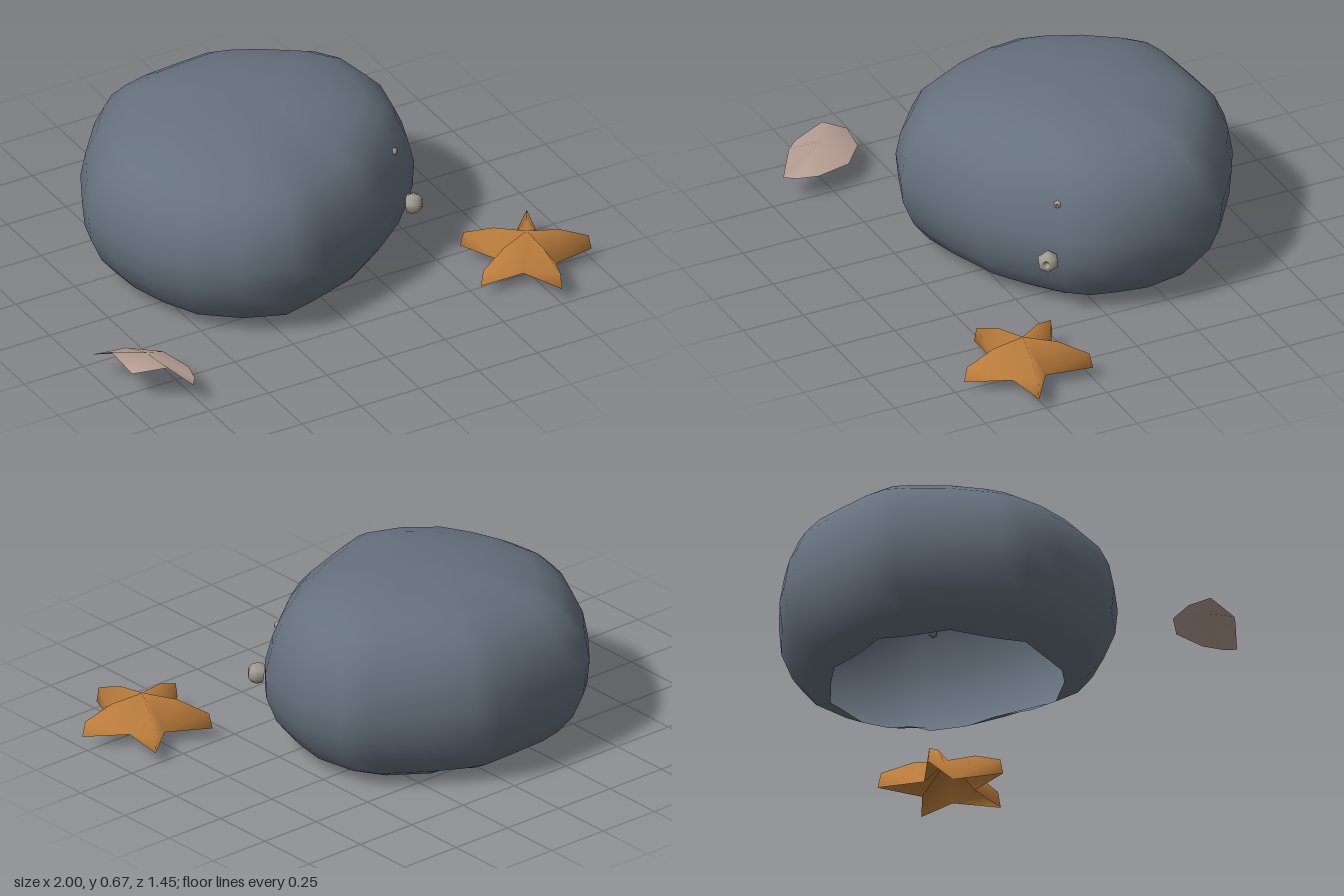
import * as THREE from 'three';

const rockGrey = new THREE.MeshStandardMaterial({ name: 'rock grey', color: 0x66717e, side: THREE.DoubleSide });
const starOrange = new THREE.MeshStandardMaterial({ name: 'starfish orange', color: 0xbb7c3c, side: THREE.DoubleSide });
const shellPink = new THREE.MeshStandardMaterial({ name: 'shell pink', color: 0xbba297, side: THREE.DoubleSide });
const barnacleGrey = new THREE.MeshStandardMaterial({ name: 'barnacle grey', color: 0xa39d91, side: THREE.DoubleSide });

function meshFrom(name, points, index, material) {
  const geo = new THREE.BufferGeometry();
  geo.setAttribute('position', new THREE.Float32BufferAttribute(points.flat(), 3));
  geo.setIndex(index);
  geo.computeVertexNormals();
  const mesh = new THREE.Mesh(geo, material);
  mesh.name = name;
  return mesh;
}

// Boulder: one plan outline, scaled ring by ring, open underneath
function makeRock() {
  const cx = -0.07, cz = -0.12;
  const outline = [
    [0.05, -0.73], [0.14, -0.7], [0.27, -0.63], [0.47, -0.49], [0.54, -0.39], [0.575, -0.2],
    [0.55, -0.05], [0.52, 0.06], [0.45, 0.15], [0.3, 0.27], [0.16, 0.36], [-0.08, 0.44],
    [-0.24, 0.48], [-0.42, 0.41], [-0.58, 0.28], [-0.66, 0.12], [-0.71, -0.05], [-0.72, -0.2],
    [-0.69, -0.3], [-0.6, -0.47], [-0.47, -0.63], [-0.4, -0.69], [-0.29, -0.715], [-0.12, -0.725],
  ];
  const profile = [
    [0.25, 0.665], [0.5, 0.647], [0.7, 0.607], [0.82, 0.56], [0.91, 0.5], [0.97, 0.42],
    [1, 0.32], [0.985, 0.22], [0.92, 0.12], [0.83, 0.05], [0.69, 0],
  ];
  const n = outline.length;
  const points = [[cx, 0.667, cz]];
  const index = [];
  profile.forEach(([s, h], i) => {
    outline.forEach(([x, z], j) => {
      // the front left shoulder leans back a little
      const lean = Math.max(0, 1 - Math.abs(j - 8.5) / 3) * THREE.MathUtils.clamp((h - 0.25) / 0.2, 0, 1);
      const k = s * (1 - 0.05 * lean * s);
      const dx = (x - cx) * k, dz = (z - cz) * k;
      const upper = (h / 0.67) ** 2;
      // the top tilts forward, with a shallow hollow in the front shoulder
      const hollow = Math.exp(-((cx + dx - 0.03) ** 2 + (cz + dz - 0.27) ** 2) / 0.02);
      let y = h + upper * (0.035 * dx - 0.04 * dz - 0.03 * hollow);
      // ragged lower rim
      if (i === profile.length - 1) y = j % 3 === 1 ? 0.02 : 0;
      points.push([cx + dx, y, cz + dz]);
    });
  });
  for (let j = 0; j < n; j++) {
    const k = (j + 1) % n;
    index.push(0, 1 + k, 1 + j);
    for (let i = 0; i < profile.length - 1; i++) {
      const a = 1 + i * n + j, b = 1 + i * n + k;
      index.push(a, b, a + n, b, b + n, a + n);
    }
  }
  return meshFrom('rock', points, index, rockGrey);
}

// Starfish: five ridged arms that arch down from the middle
function makeStarfish() {
  const cx = 0.755, cz = 0.475, base = 0.045;
  const tips = [[1, 0.53], [0.765, 0.722], [0.515, 0.555], [0.59, 0.27], [0.885, 0.25]];
  const notches = [[0.835, 0.555], [0.695, 0.555], [0.665, 0.435], [0.745, 0.36], [0.855, 0.43]];
  const points = [[cx, 0.168, cz]];
  const index = [];
  tips.forEach(([x, z], i) => {
    const along = (t, y) => [cx + (x - cx) * t, y, cz + (z - cz) * t];
    points.push(along(0.5, 0.152), along(0.95, 0.105), along(1, base), [notches[i][0], base, notches[i][1]]);
    const m = 1 + i * 4, top = m + 1, tip = m + 2, next = m + 3, prev = 1 + ((i + 4) % 5) * 4 + 3;
    index.push(0, next, m, m, next, top, top, next, tip);
    index.push(0, m, prev, m, top, prev, top, tip, prev);
  });
  return meshFrom('starfish', points, index, starOrange);
}

// Broken shell: a thin fan whose outer rim rises in two scallops
function makeShell() {
  const points = [
    [-0.87, 0.15, 0.49], [-1, 0.09, 0.32], [-0.87, 0.09, 0.34], [-0.765, 0.09, 0.43],
    [-0.735, 0.09, 0.57], [-0.755, 0.09, 0.65], [-0.785, 0.09, 0.69],
    [-0.86, 0.155, 0.63], [-0.965, 0.118, 0.55], [-0.984, 0.155, 0.43],
  ];
  const rim = points.length - 1;
  const index = [];
  for (let i = 1; i <= rim; i++) index.push(0, (i % rim) + 1, i);
  return meshFrom('shellFragment', points, index, shellPink);
}

// Barnacle: a squat six-sided cup with a hollow mouth
function makeBarnacle(x, y, z, r) {
  const cup = [[0.85, -0.7], [1, -0.2], [0.85, 0.3], [0.45, 0.65], [0.28, 0.55], [0.001, -0.1]]
    .map(([a, b]) => new THREE.Vector2(a * r, b * r));
  const mesh = new THREE.Mesh(new THREE.LatheGeometry(cup, 6), barnacleGrey);
  mesh.name = 'barnacle';
  mesh.position.set(x, y, z);
  mesh.quaternion.setFromUnitVectors(new THREE.Vector3(0, 1, 0), new THREE.Vector3(0.78, 0.1, 0.62).normalize());
  return mesh;
}

export function createModel() {
  const model = new THREE.Group();
  model.name = 'tidePoolRock';
  model.add(
    makeRock(), makeStarfish(), makeShell(),
    makeBarnacle(0.432, 0.245, 0.21, 0.042),
    makeBarnacle(0.383, 0.45, 0.145, 0.016),
  );
  return model;
}
